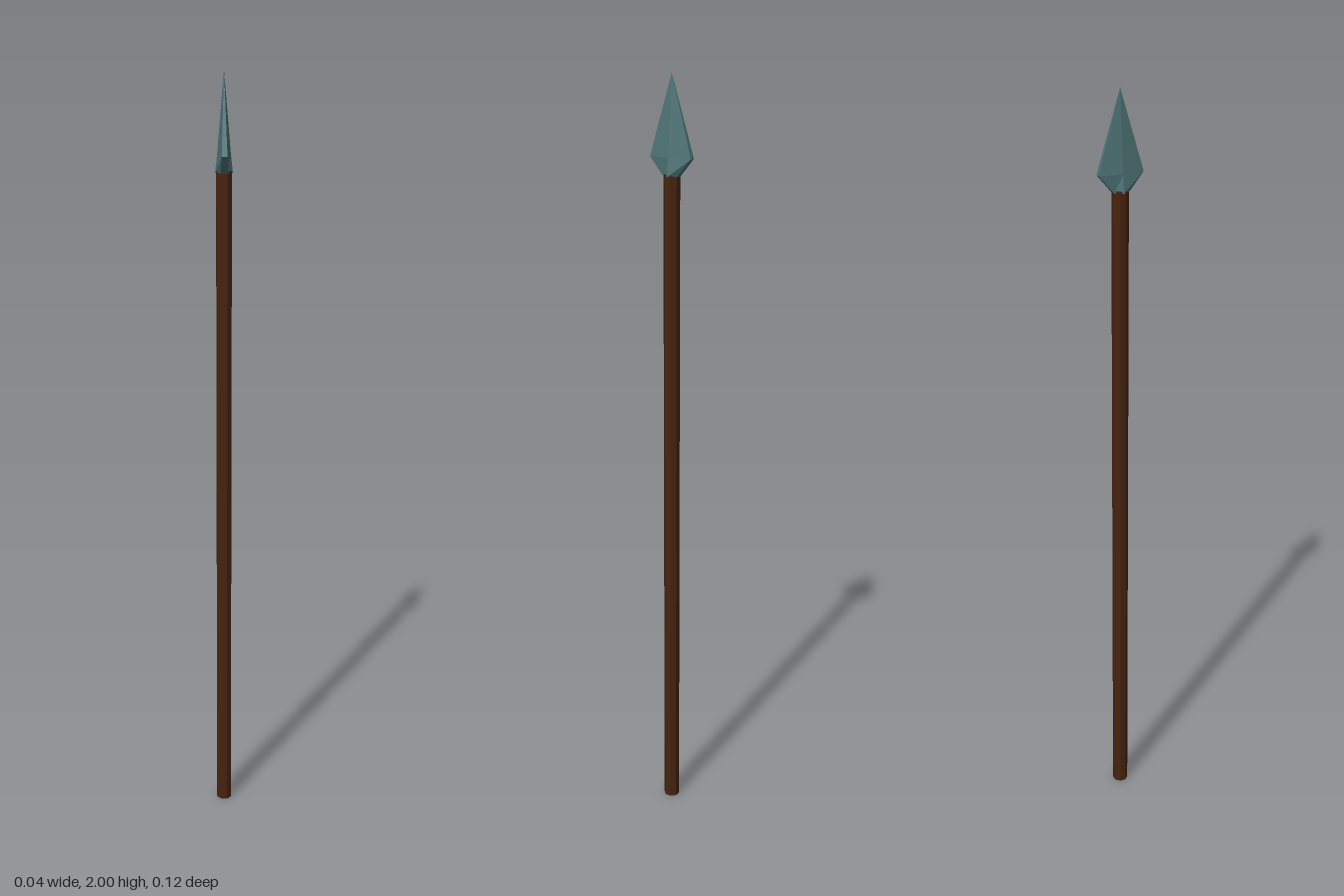
import * as THREE from 'three';

// Closed solid lofted through horizontal six-sided rings, ending in a point.
function loftToTip(rings, tipY) {
  const n = rings[0].length;
  const pos = rings.flat(2);
  const index = [];
  for (let r = 0; r < rings.length - 1; r++) {
    for (let i = 0; i < n; i++) {
      const a = r * n + i, b = r * n + (i + 1) % n;
      index.push(a, a + n, b, b, a + n, b + n);
    }
  }
  const tip = pos.length / 3, last = tip - n;
  pos.push(0, tipY, 0);
  for (let i = 0; i < n; i++) index.push(last + i, tip, last + (i + 1) % n);
  for (let i = 1; i < n - 1; i++) index.push(0, i, i + 1);
  const geo = new THREE.BufferGeometry();
  geo.setAttribute('position', new THREE.Float32BufferAttribute(pos, 3));
  geo.setIndex(index);
  const flat = geo.toNonIndexed();
  flat.computeVertexNormals();
  return flat;
}

// Hexagonal ring: ridge half-thickness, blunt edge half-thickness, half-width.
const ring = (y, ridge, edge, width) => [
  [ridge, y, 0], [edge, y, width], [-edge, y, width],
  [-ridge, y, 0], [-edge, y, -width], [edge, y, -width],
];

export function createModel() {
  const model = new THREE.Group();
  const wood = new THREE.MeshStandardMaterial({ color: 0x47230f, flatShading: true });
  const metal = new THREE.MeshStandardMaterial({ color: 0x4d7375, flatShading: true });

  // Straight eight-sided wooden shaft
  const shaftHeight = 1.76;
  const shaftGeo = new THREE.CylinderGeometry(0.021, 0.021, shaftHeight, 8);
  shaftGeo.rotateY(Math.PI / 8);
  const shaft = new THREE.Mesh(shaftGeo, wood);
  shaft.name = 'shaft';
  shaft.position.y = shaftHeight / 2;
  model.add(shaft);

  // Leaf-shaped point: narrow socket, broad shoulders, sharp tip
  const head = new THREE.Mesh(
    loftToTip([ring(1.755, 0.022, 0.009, 0.02), ring(1.8, 0.017, 0.007, 0.059)], 2),
    metal
  );
  head.name = 'spearhead';
  model.add(head);

  return model;
}
